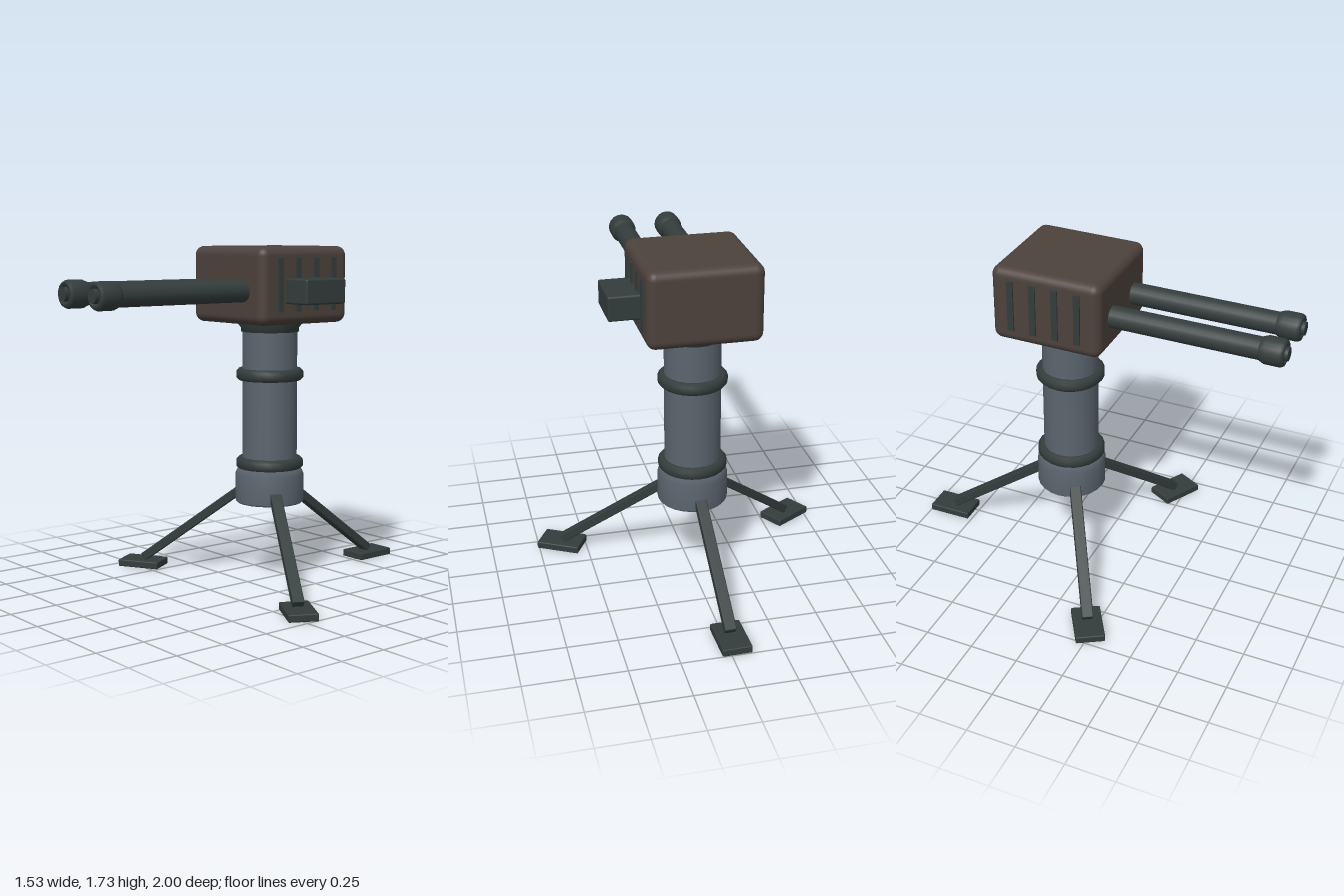
import * as THREE from 'three';
import { RoundedBoxGeometry } from 'three/addons/geometries/RoundedBoxGeometry.js';

const material = (name, color) => {
  const m = new THREE.MeshStandardMaterial({ color });
  m.name = name;
  return m;
};

export function createModel() {
  const group = new THREE.Group();
  const brown = material('brown armour', 0x4d423c);
  const grey = material('blue grey steel', 0x5b656e);
  const dark = material('dark gunmetal', 0x343d3c);
  const CX = -0.012, CZ = -0.157; // column axis

  const add = (name, geometry, mat, x, y, z, parent = group) => {
    const mesh = new THREE.Mesh(geometry, mat);
    mesh.name = name;
    mesh.position.set(x, y, z);
    parent.add(mesh);
    return mesh;
  };
  // points run from the bottom of the profile to the top
  const lathe = (points, segments = 24) =>
    new THREE.LatheGeometry(points.map(([r, y]) => new THREE.Vector2(r, y)), segments);

  // Column with its base cup, bands and collar
  add('columnBase', lathe([[0, 0.41], [0.17, 0.41], [0.178, 0.42], [0.178, 0.56], [0.16, 0.6], [0, 0.6]]), grey, CX, 0, CZ);
  add('column', new THREE.CylinderGeometry(0.142, 0.142, 0.8, 24), grey, CX, 0.97, CZ);
  for (const y of [0.617, 1.08]) {
    add('columnBand', lathe([[0.14, -0.03], [0.16, -0.03], [0.174, -0.015], [0.174, 0.015], [0.16, 0.03], [0.14, 0.03]]), dark, CX, y, CZ);
  }
  add('collar', lathe([[0.14, 1.3], [0.15, 1.3], [0.15, 1.32], [0.164, 1.338], [0.164, 1.37]]), dark, CX, 0, CZ);

  // Head housing with vent strips on both sides and an ammunition box on its left
  add('head', new RoundedBoxGeometry(0.565, 0.385, 0.568, 4, 0.045), brown, CX, 1.5425, CZ);
  for (const side of [-1, 1]) {
    for (let i = 0; i < 4; i++) {
      add('ventStrip', new THREE.BoxGeometry(0.016, 0.264, 0.032), dark, CX + side * 0.283, 1.548, 0.014 - i * 0.116);
    }
  }
  add('ammunitionBox', new RoundedBoxGeometry(0.165, 0.125, 0.258, 2, 0.01), dark, 0.3435, 1.518, -0.15);

  // Twin barrels with thicker muzzles
  for (const x of [-0.139, 0.119]) {
    const barrel = new THREE.Group();
    barrel.name = 'barrelAssembly';
    barrel.position.set(x, 1.518, 0);
    barrel.rotation.x = Math.PI / 2;
    group.add(barrel);
    add('barrel', new THREE.CylinderGeometry(0.055, 0.055, 0.85, 20), dark, 0, 0.475, 0, barrel);
    add('muzzle', lathe([[0.05, 0.865], [0.057, 0.868], [0.068, 0.895], [0.068, 0.97], [0.06, 0.985], [0.043, 0.986], [0.041, 0.97], [0, 0.97]], 20), dark, 0, 0, 0, barrel);
    add('muzzleTip', new THREE.CylinderGeometry(0.033, 0.033, 0.04, 20), dark, 0, 0.98, 0, barrel);
  }

  // Three splayed legs, each with a flat foot
  const innerR = 0.145, innerY = 0.474, outerR = 0.718, outerY = 0.052;
  const length = Math.hypot(outerR - innerR, innerY - outerY);
  for (let i = 0; i < 3; i++) {
    const leg = new THREE.Group();
    leg.name = 'legAssembly';
    leg.position.set(CX, 0, CZ);
    leg.rotation.y = THREE.MathUtils.degToRad(-28.9 + i * 120);
    group.add(leg);
    const bar = add('leg', new RoundedBoxGeometry(length, 0.045, 0.058, 2, 0.006), dark,
      (innerR + outerR) / 2, (innerY + outerY) / 2, 0, leg);
    bar.rotation.z = -Math.atan2(innerY - outerY, outerR - innerR);
    add('foot', new RoundedBoxGeometry(0.23, 0.038, 0.148, 2, 0.006), dark, 0.728, 0.022, 0, leg);
  }
  return group;
}
